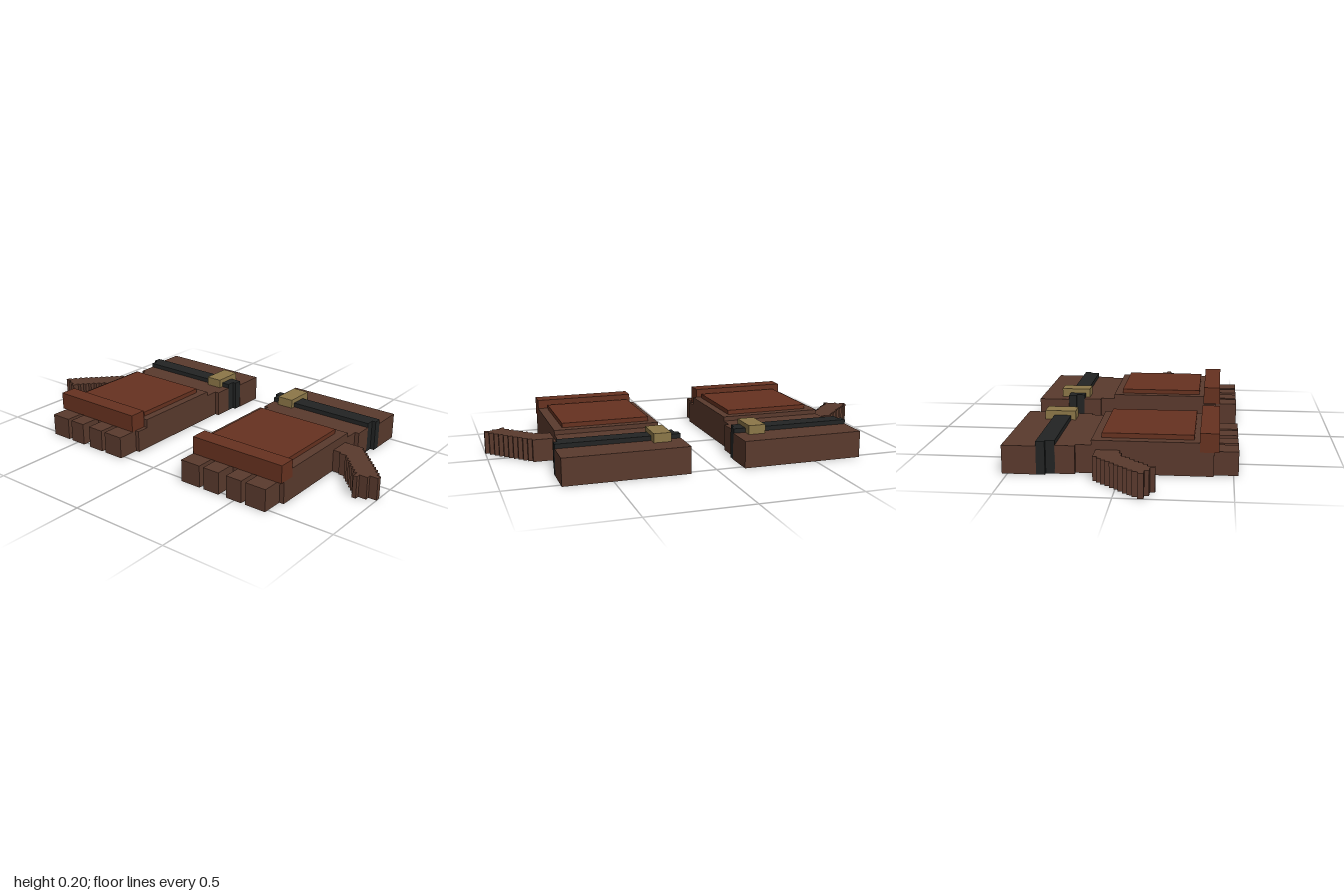
import * as THREE from 'three';

const material = (name, color) => {
  const m = new THREE.MeshStandardMaterial({ color });
  m.name = name;
  return m;
};

export function createModel() {
  const brown = material('brownLeather', 0x5a3a2d);
  const rust = material('rustLeather', 0x673220);
  const black = material('blackStrap', 0x222424);
  const brass = material('brass', 0x8c7748);

  // One glove lying palm down; side = 1 is the left (+x), -1 the right
  function glove(side) {
    const group = new THREE.Group();
    group.name = side > 0 ? 'leftGlove' : 'rightGlove';

    // Box from its extents, mirrored in x for the right glove
    const box = (name, mat, x0, x1, y0, y1, z0, z1, parent = group) => {
      const mesh = new THREE.Mesh(new THREE.BoxGeometry(x1 - x0, y1 - y0, z1 - z0), mat);
      mesh.position.set(side * (x0 + x1) / 2, (y0 + y1) / 2, (z0 + z1) / 2);
      mesh.name = name;
      parent.add(mesh);
    };

    // Cuff and wrist, narrowing towards the hand
    box('cuff', brown, 0.133, 0.735, 0, 0.131, -0.525, -0.37);
    box('wrist', brown, 0.153, 0.715, 0, 0.131, -0.29, -0.2);
    box('wristFront', brown, 0.175, 0.693, 0, 0.131, -0.2, -0.13);

    // Strap wrapped round the wrist in two steps, with its buckle
    box('strapBack', black, 0.135, 0.735, 0, 0.153, -0.37, -0.33);
    box('strapFront', black, 0.153, 0.715, 0, 0.153, -0.33, -0.288);
    box('buckle', brass, 0.195, 0.28, 0.131, 0.175, -0.415, -0.265);

    // Hand with raised back plate and knuckle guard
    box('hand', brown, 0.175, 0.693, 0, 0.153, -0.13, 0.35);
    box('handFront', brown, 0.175, 0.693, 0, 0.11, 0.35, 0.413);
    box('backPlate', rust, 0.215, 0.647, 0.153, 0.175, -0.088, 0.325);
    box('knuckleGuard', rust, 0.195, 0.693, 0.11, 0.197, 0.35, 0.435);

    // Finger stubs
    for (const [x0, x1] of [[0.195, 0.302], [0.325, 0.412], [0.455, 0.54], [0.563, 0.67]]) {
      box('finger', brown, x0, x1, 0, 0.11, 0.413, 0.522);
    }

    // Thumb: stepped slices, each given by its back and front z
    const thumb = new THREE.Group();
    thumb.name = 'thumb';
    group.add(thumb);
    const slices = [
      [-0.11, 0], [-0.11, 0], [-0.11, 0.012], [-0.11, 0.012], [-0.11, 0.033],
      [-0.09, 0.054], [-0.07, 0.075], [-0.048, 0.096], [-0.027, 0.117], [-0.006, 0.138],
      [0.015, 0.172], [0.036, 0.15], [0.057, 0.15], [0.08, 0.13], [0.105, 0.13],
    ];
    const step = (1 - 0.693) / slices.length;
    slices.forEach(([z0, z1], i) => {
      box('thumbSlice', brown, 0.693 + i * step, 0.693 + (i + 1) * step, 0, 0.11, z0, z1, thumb);
    });
    return group;
  }

  const model = new THREE.Group();
  model.name = 'gloves';
  model.add(glove(1), glove(-1));
  return model;
}
